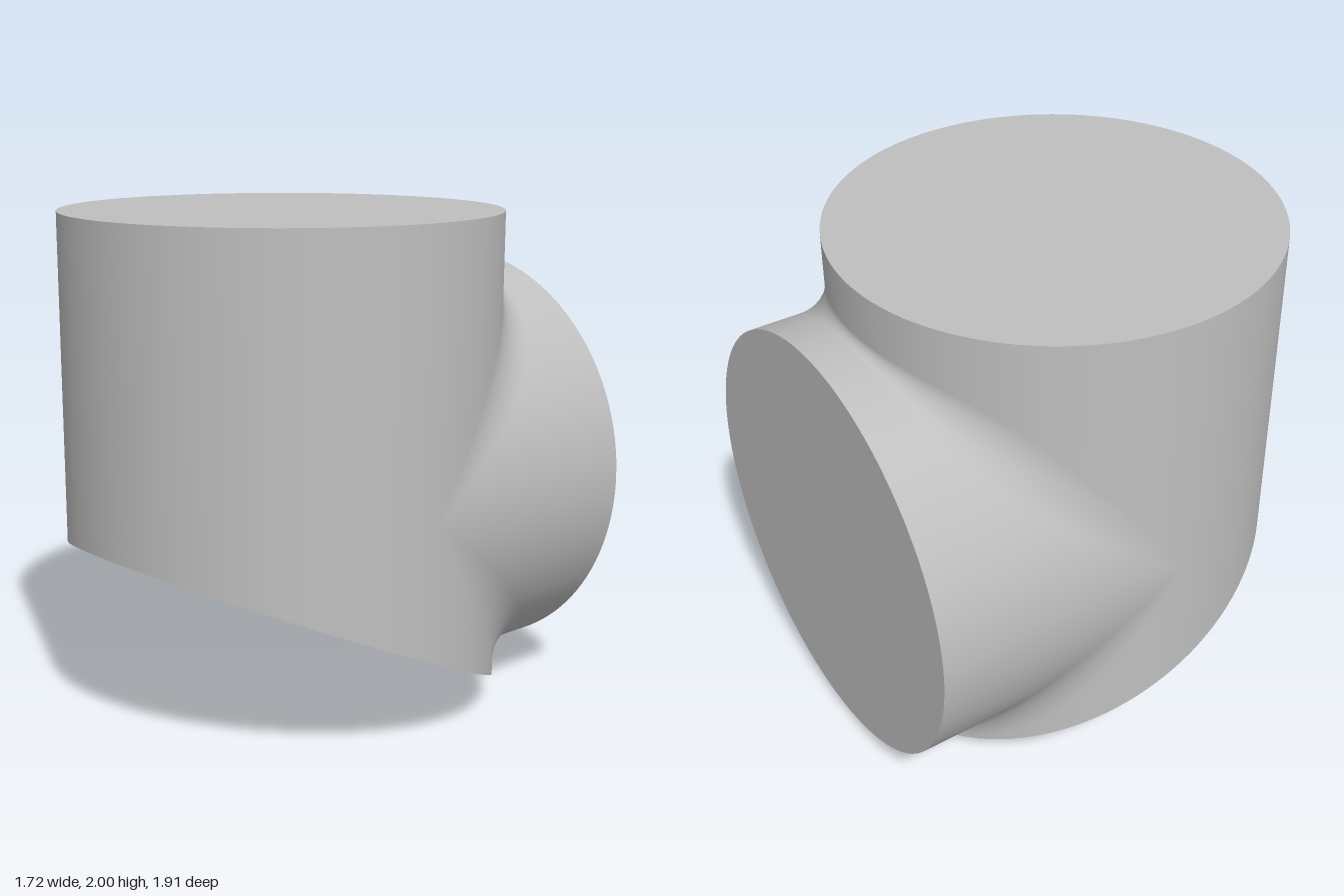
import * as THREE from 'three';

const R = 0.86;        // radius of both tubes
const AXIS_Z = 0.093;  // vertical tube axis
const AXIS_Y = 0.91;   // horizontal branch axis
const TOP = 2, BACK = -0.953;
const SEG = 64;

// Height of the slanted base at depth z
const baseY = (z) => (z - AXIS_Z + R) * 0.442;

// Back half of the tee, above (s = 1) or below (s = -1) the branch axis:
// tube wall, fillet that widens towards the sides, branch wall
function teeHalf(s) {
  const pos = [], nor = [], idx = [];
  const steps = 8, rows = steps + 3;
  for (let i = 0; i <= SEG; i++) {
    const a = (i / SEG - 0.5) * Math.PI;
    const sin = Math.sin(a), cos = Math.cos(a);
    const r = 0.035 + 0.35 * sin * sin;
    const wall = new THREE.Vector3(sin, 0, -cos);
    const branch = new THREE.Vector3(sin, s * cos, 0);
    const centre = new THREE.Vector3(sin, s * cos, -cos).multiplyScalar(R + r)
      .add(new THREE.Vector3(0, AXIS_Y, AXIS_Z));
    const add = (p, n) => { pos.push(p.x, p.y, p.z); nor.push(n.x, n.y, n.z); };

    const wallZ = AXIS_Z - R * cos;
    add(new THREE.Vector3(R * sin, s > 0 ? TOP : baseY(wallZ), wallZ), wall);
    for (let k = 0; k <= steps; k++) {
      const n = wall.clone().lerp(branch, k / steps).normalize();
      add(centre.clone().addScaledVector(n, -r), n);
    }
    add(new THREE.Vector3(R * sin, AXIS_Y + s * R * cos, BACK), branch);
  }
  for (let i = 0; i < SEG; i++) {
    for (let j = 0; j < rows - 1; j++) {
      const a = i * rows + j, b = a + rows, c = a + 1, d = b + 1;
      if (s > 0) idx.push(a, b, c, b, d, c);
      else idx.push(a, c, b, b, c, d);
    }
  }
  const g = new THREE.BufferGeometry();
  g.setAttribute('position', new THREE.Float32BufferAttribute(pos, 3));
  g.setAttribute('normal', new THREE.Float32BufferAttribute(nor, 3));
  g.setIndex(idx);
  return g;
}

// Move the lower vertices of a geometry on to the slanted base
function dropToBase(g) {
  const p = g.attributes.position;
  for (let i = 0; i < p.count; i++) {
    if (p.getY(i) < 1) p.setY(i, baseY(p.getZ(i)));
  }
  return g;
}

export function createModel() {
  const group = new THREE.Group();
  group.name = 'pipeTee';
  const grey = new THREE.MeshStandardMaterial({ color: 0xbfbfbf });
  grey.name = 'plain grey';
  const add = (name, geometry) => {
    const mesh = new THREE.Mesh(geometry, grey);
    mesh.name = name;
    group.add(mesh);
  };

  // Front half of the vertical tube
  const front = new THREE.CylinderGeometry(R, R, TOP, SEG, 1, true, -Math.PI / 2, Math.PI);
  front.translate(0, TOP / 2, AXIS_Z);
  add('frontWall', dropToBase(front));

  // Back of the tube with the blended branch
  add('upperBranch', teeHalf(1));
  add('lowerBranch', teeHalf(-1));

  // Flat ends
  const disc = () => new THREE.CircleGeometry(R, SEG * 2);
  add('topCap', disc().rotateX(-Math.PI / 2).translate(0, TOP, AXIS_Z));
  add('branchCap', disc().rotateY(Math.PI).translate(0, AXIS_Y, BACK));
  const base = dropToBase(disc().rotateX(Math.PI / 2).translate(0, 0, AXIS_Z));
  base.computeVertexNormals();
  add('slantedBase', base);

  return group;
}
